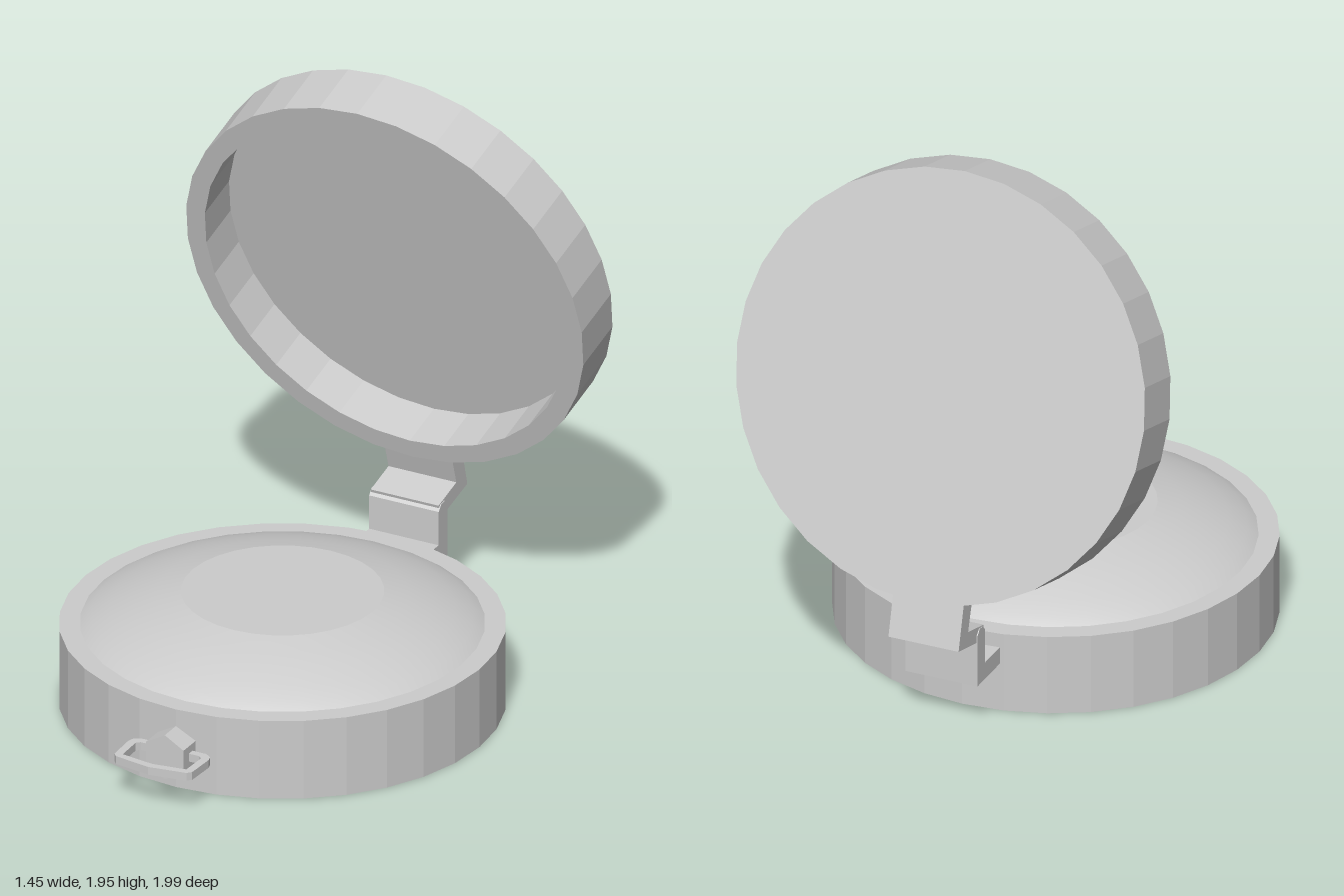
import * as THREE from 'three';

const SIDES = 32, R = 0.725, BASE_Z = 0.085;
const smooth = new THREE.MeshStandardMaterial({ color: 0xcccccc });
const flat = new THREE.MeshStandardMaterial({ color: 0xcccccc, flatShading: true });

const points = (list) => list.map(([a, b]) => new THREE.Vector2(a, b));

function mesh(name, geometry, material = flat) {
  const m = new THREE.Mesh(geometry, material);
  m.name = name;
  return m;
}

const turned = (profile) => new THREE.LatheGeometry(points(profile), SIDES);

// Outline given as [z, y], extruded across x
function sidePlate(outline, width) {
  return new THREE.ExtrudeGeometry(new THREE.Shape(points(outline)), { depth: width, bevelEnabled: false })
    .translate(0, 0, -width / 2)
    .rotateY(-Math.PI / 2);
}

// Mirrors a half outline (x >= 0) into a closed one
const mirrored = (half) => [...half, ...half.filter(([x]) => x > 0).reverse().map(([x, z]) => [-x, z])];

export function createModel() {
  const model = new THREE.Group();
  model.name = 'hingedCompact';

  // Lower case: drum with a raised, domed plate
  const base = new THREE.Group();
  base.name = 'base';
  base.position.z = BASE_Z;
  base.add(mesh('baseDrum', turned([[0, 0], [R, 0], [R, 0.28], [0.6, 0.28]])));
  base.add(mesh('dome', turned([[0.66, 0.278], [0.62, 0.303], [0.56, 0.328], [0.49, 0.354], [0.41, 0.377], [0.33, 0.395]]), smooth));
  base.add(mesh('domeTop', turned([[0.33, 0.395], [0, 0.395]])));
  model.add(base);

  // Open lid: shallow hollow drum leaning back 15 degrees
  const lid = mesh('lid', turned([[0, 0], [R, 0], [R, 0.205], [0.657, 0.205], [0.657, 0.035], [0, 0.035]]));
  lid.position.set(0, 1.248, -0.808);
  lid.rotation.x = THREE.MathUtils.degToRad(105);
  model.add(lid);

  // Hinge: one bent bracket on the base, one on the lid
  const hinge = new THREE.Group();
  hinge.name = 'hinge';
  hinge.add(mesh('baseBracket', sidePlate(
    [[-0.6, 0.17], [-0.8, 0.17], [-0.8, 0.355], [-0.782, 0.373], [-0.757, 0.37], [-0.74, 0.35], [-0.74, 0.23], [-0.6, 0.23]], 0.256)));
  hinge.add(mesh('lidBracket', sidePlate(
    [[-0.76, 0.32], [-0.94, 0.365], [-0.895, 0.535], [-0.83, 0.52], [-0.866, 0.402], [-0.745, 0.37]], 0.25)));
  model.add(hinge);

  // Latch: hexagonal stud with a flat pull loop
  const latch = new THREE.Group();
  latch.name = 'latch';
  const stud = mesh('latchStud', new THREE.CylinderGeometry(0.08, 0.08, 0.1, 6).rotateX(Math.PI / 2));
  stud.position.set(0, 0.14, 0.836);
  latch.add(stud);

  const loop = new THREE.Shape(points(mirrored(
    [[0.12, 0.825], [0.142, 0.84], [0.148, 0.86], [0.143, 0.963], [0.13, 0.978], [0, 0.998]])));
  loop.holes.push(new THREE.Path(points(mirrored(
    [[0.108, 0.85], [0.12, 0.862], [0.117, 0.955], [0, 0.972]]))));
  const pull = mesh('latchLoop', new THREE.ExtrudeGeometry(loop, { depth: 0.028, bevelEnabled: false }).rotateX(Math.PI / 2));
  pull.position.y = 0.154;
  latch.add(pull);
  model.add(latch);

  return model;
}
